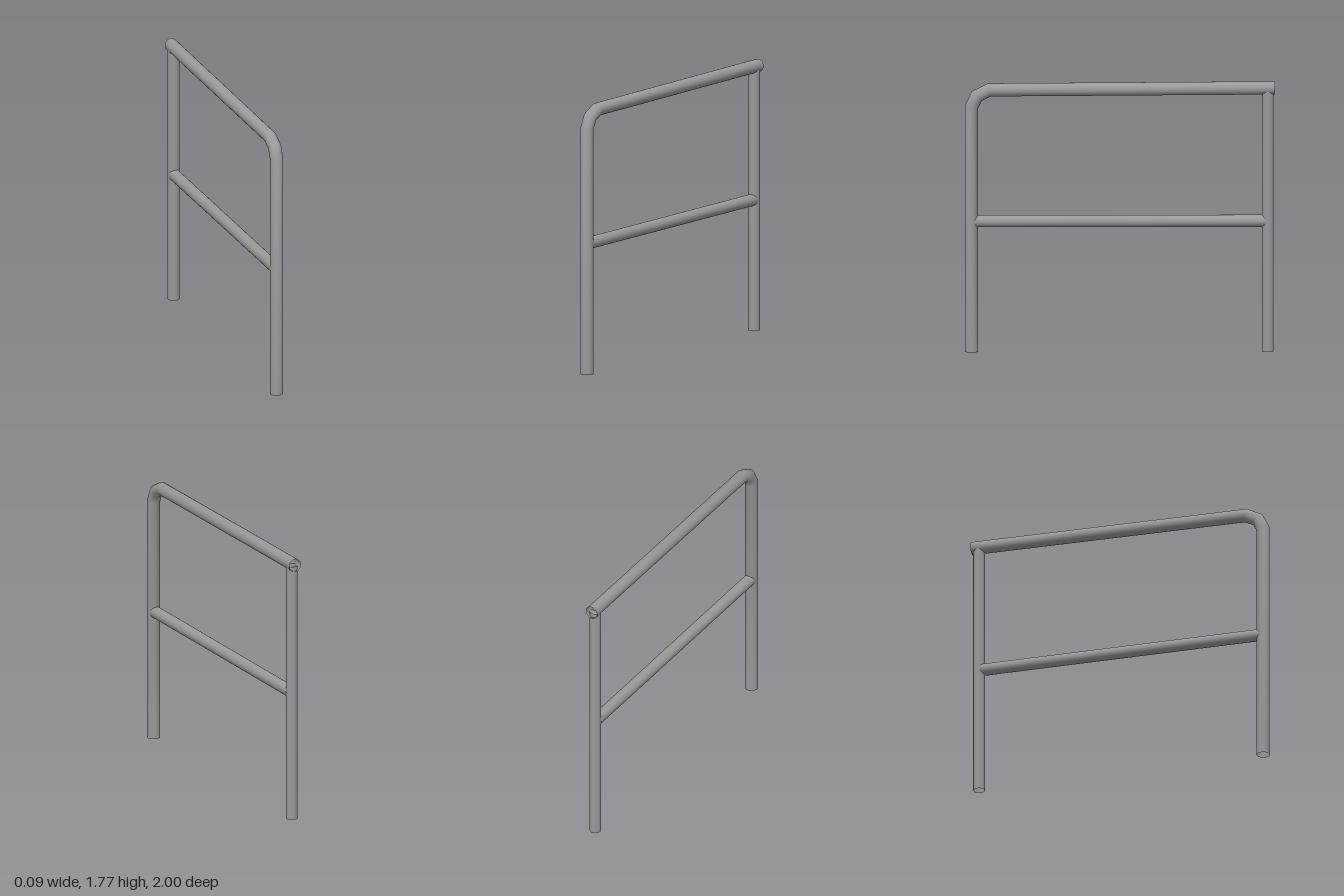
import * as THREE from 'three';

const material = new THREE.MeshStandardMaterial({ color: 0x999999, side: THREE.DoubleSide });
const SIDES = 24;

// Open pipe with mitred corners, following [z, y] points in the plane x = 0
function pipe(name, radius, points) {
  const path = points.map(([z, y]) => new THREE.Vector3(0, y, z));
  const xAxis = new THREE.Vector3(1, 0, 0);
  const positions = [], normals = [], index = [];
  const segment = (i) => path[i + 1].clone().sub(path[i]).normalize();

  path.forEach((p, i) => {
    const before = segment(Math.max(i - 1, 0));
    const after = segment(Math.min(i, path.length - 2));
    const tangent = before.clone().add(after).normalize();
    const across = new THREE.Vector3().crossVectors(tangent, xAxis);
    const stretch = 1 / tangent.dot(after);
    for (let j = 0; j <= SIDES; j++) {
      const a = (j / SIDES) * Math.PI * 2;
      const c = Math.cos(a), s = Math.sin(a);
      const v = p.clone().addScaledVector(xAxis, radius * c).addScaledVector(across, radius * s * stretch);
      const n = xAxis.clone().multiplyScalar(c).addScaledVector(across, s);
      positions.push(v.x, v.y, v.z);
      normals.push(n.x, n.y, n.z);
      if (i > 0 && j < SIDES) {
        const d = i * (SIDES + 1) + j, b = d - SIDES - 1;
        index.push(b, d + 1, d, b, b + 1, d + 1);
      }
    }
  });

  const geometry = new THREE.BufferGeometry();
  geometry.setAttribute('position', new THREE.Float32BufferAttribute(positions, 3));
  geometry.setAttribute('normal', new THREE.Float32BufferAttribute(normals, 3));
  geometry.setIndex(index);
  const mesh = new THREE.Mesh(geometry, material);
  mesh.name = name;
  return mesh;
}

export function createModel() {
  const group = new THREE.Group();
  group.name = 'handrail';
  group.add(
    // Front post bending into the gently rising top rail
    pipe('bentTopRail', 0.0425, [[0.957, 0], [0.957, 1.607], [0.922, 1.677], [0.842, 1.717], [-1, 1.727]]),
    // Rear post, ending inside the top rail
    pipe('rearPost', 0.038, [[-0.953, 0], [-0.953, 1.715]]),
    // Middle rail between the posts
    pipe('middleRail', 0.039, [[0.945, 0.855], [-0.943, 0.855]]),
  );
  return group;
}
